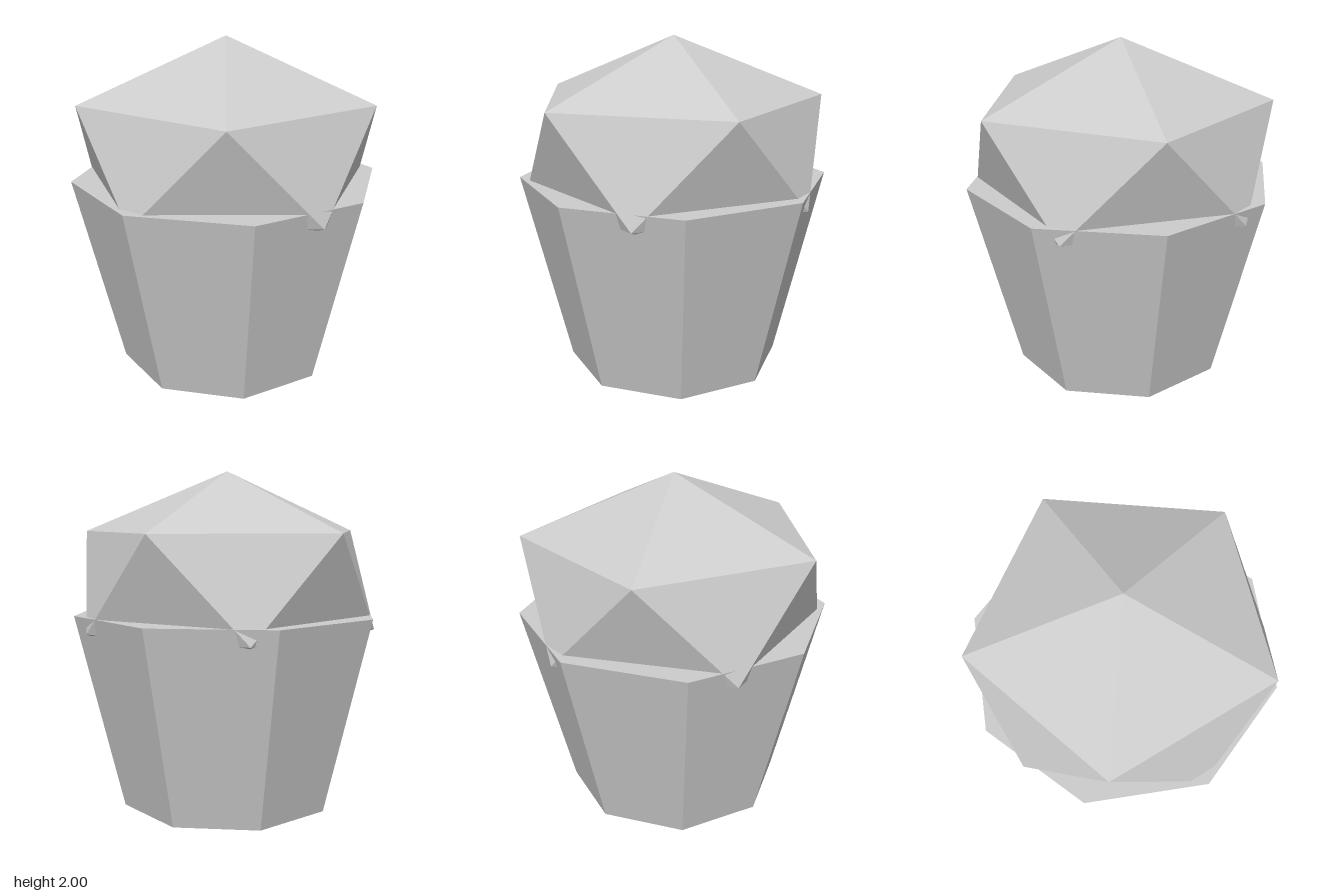
import * as THREE from 'three';

export function createModel() {
  const group = new THREE.Group();
  const grey = new THREE.MeshStandardMaterial({ color: 0xcccccc, flatShading: true });
  grey.name = 'grey';

  // Tapered eight-sided cup with closed ends
  const cup = new THREE.Mesh(new THREE.CylinderGeometry(0.926, 0.645, 1.163, 8), grey);
  cup.name = 'cup';
  cup.position.y = 1.163 / 2;
  group.add(cup);

  // Flattened icosahedron, one vertex straight up, upper ring pointing to +x
  const topGeometry = new THREE.IcosahedronGeometry(0.99, 0);
  topGeometry.rotateZ(Math.atan(2 / (1 + Math.sqrt(5))));
  topGeometry.rotateY(Math.PI);
  topGeometry.scale(1, 0.648, 1);
  const top = new THREE.Mesh(topGeometry, grey);
  top.name = 'domedTop';
  top.position.y = 2 - 0.99 * 0.648;
  group.add(top);

  return group;
}
